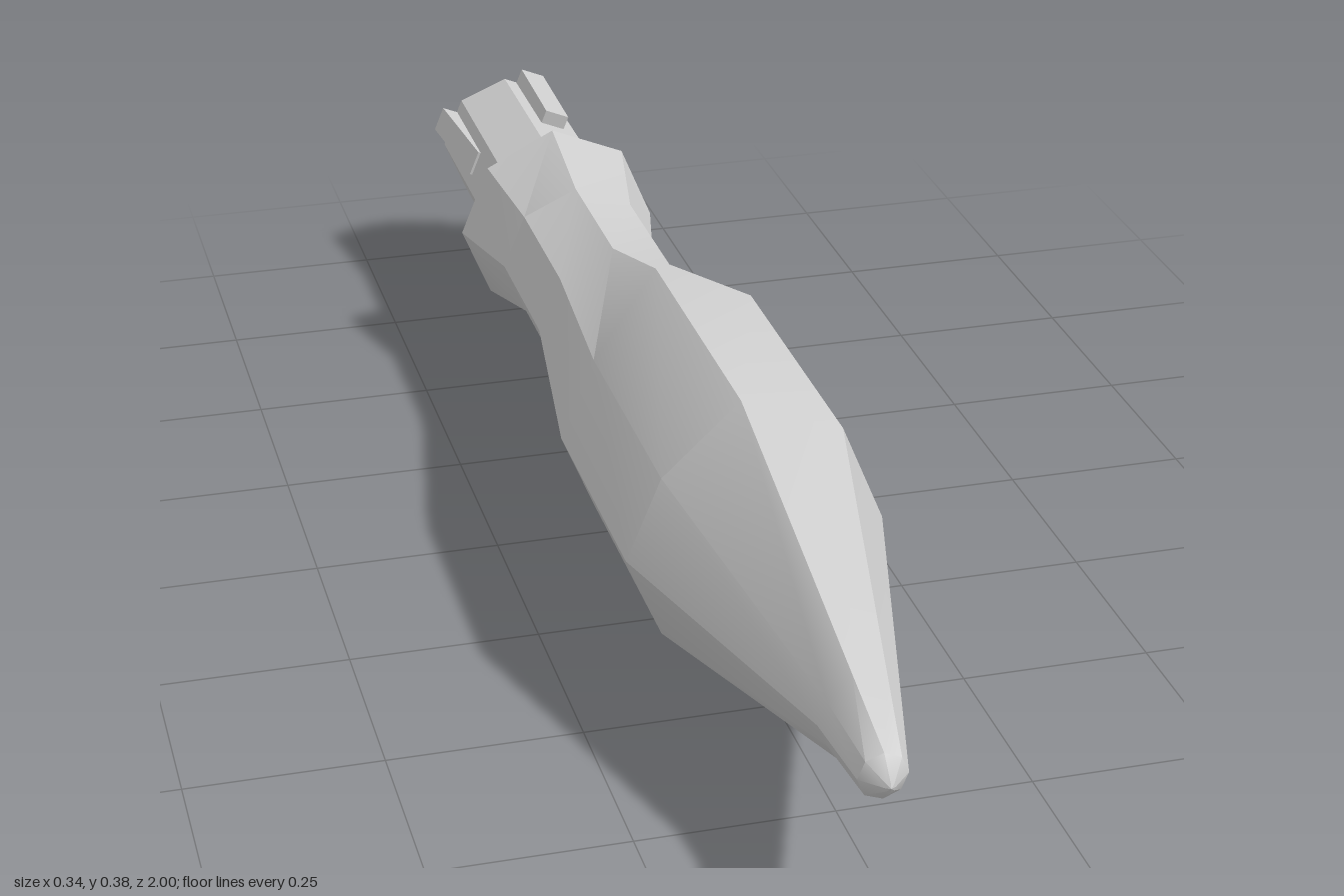
import * as THREE from 'three';
import { toCreasedNormals } from 'three/addons/utils/BufferGeometryUtils.js';

const SIDES = 8;
const AXIS = new THREE.Vector3(-0.018, 0.192, 0);

// Skin a list of [z, radius, zDented, radiusDented] rings running front to back.
// The three columns on the -x side follow the dented profile.
function loft(rings) {
  const pos = [];
  const point = ([z, r, zd, rd], k) => {
    const i = k % SIDES, a = (i / SIDES) * Math.PI * 2;
    const dented = i >= 3 && i <= 5;
    const radius = dented ? rd : r;
    return [radius * Math.cos(a), radius * Math.sin(a), dented ? zd : z];
  };
  for (let i = 0; i < rings.length - 1; i++) {
    const [front, back] = [rings[i], rings[i + 1]];
    for (let k = 0; k < SIDES; k++) {
      const a = point(front, k), b = point(front, k + 1);
      const c = point(back, k + 1), d = point(back, k);
      if (front[1] > 0) pos.push(...a, ...d, ...b);
      if (back[1] > 0) pos.push(...b, ...d, ...c);
    }
  }
  const geo = new THREE.BufferGeometry();
  geo.setAttribute('position', new THREE.Float32BufferAttribute(pos, 3));
  return toCreasedNormals(geo, 0.66);
}

export function createModel() {
  const model = new THREE.Group();
  const smooth = new THREE.MeshStandardMaterial({ color: 0xcccccc });
  const flat = new THREE.MeshStandardMaterial({ color: 0xcccccc, flatShading: true });
  const add = (name, geo, mat, parent = model) => {
    const mesh = new THREE.Mesh(geo, mat);
    mesh.name = name;
    parent.add(mesh);
    return mesh;
  };

  // Pointed body: blunt nose, swollen belly, waist and flared rear collar
  add('body', loft([
    [0.998, 0, 0.998, 0],
    [0.995, 0.006, 0.995, 0.006],
    [0.97, 0.03, 0.97, 0.031],
    [0.85, 0.063, 0.85, 0.04],
    [0.39, 0.189, 0.42, 0.156],
    [-0.025, 0.189, 0.07, 0.156],
    [-0.265, 0.117, -0.27, 0.108],
    [-0.49, 0.117, -0.5, 0.108],
    [-0.64, 0.152, -0.64, 0.143],
    [-0.64, 0, -0.64, 0],
  ]), smooth).position.copy(AXIS);

  // Octagonal tail shaft
  const tail = new THREE.Group();
  tail.name = 'tail';
  tail.position.set(-0.013, AXIS.y, 0);
  model.add(tail);
  const shaft = new THREE.CylinderGeometry(0.102, 0.102, 0.38, SIDES);
  shaft.rotateX(Math.PI / 2);
  add('tailShaft', shaft, flat, tail).position.z = -0.81;

  // Four ribs on every other face, each [outer radius at front, at back]
  const reach = [[0.115, 0.118], [0.098, 0.119], [0.102, 0.104], [0.102, 0.104]];
  reach.forEach(([front, back], i) => {
    const rib = new THREE.BoxGeometry(1, 0.038, 0.18);
    const p = rib.attributes.position;
    for (let v = 0; v < p.count; v++) {
      p.setX(v, p.getX(v) < 0 ? 0.08 : p.getZ(v) > 0 ? front : back);
    }
    rib.translate(0, 0, -0.908);
    add('tailRib', rib, flat, tail).rotation.z = Math.PI * (3 / 8 + i / 2);
  });

  return model;
}
